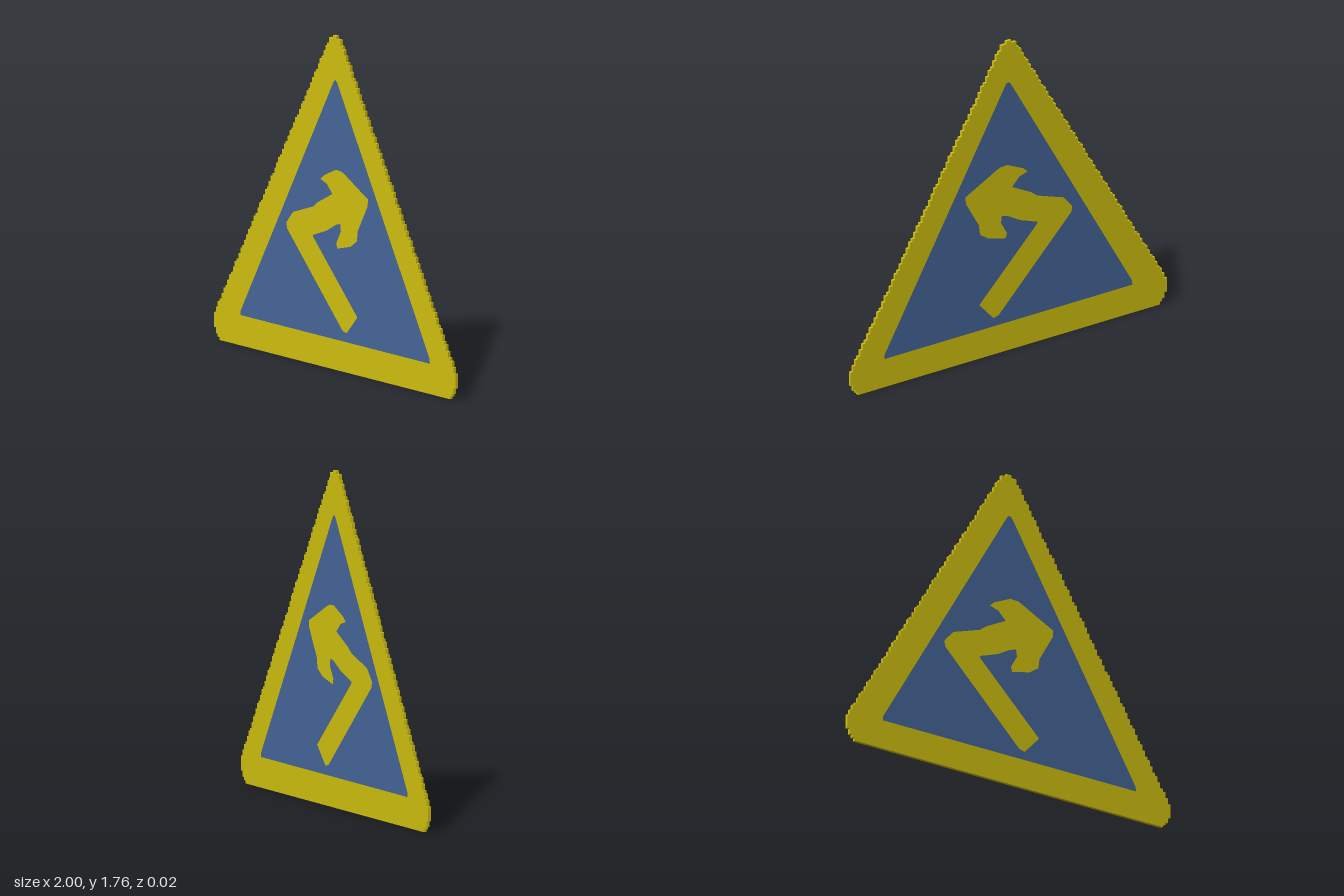
import * as THREE from 'three';

const CELL = 1 / 64;   // step size of the jagged rim
const THICK = 0.0165;
const HEIGHT = 1.76;

// Half width of the rounded triangular plate at a given height
function halfWidth(y) {
  if (y < 0.065) return 0.945 + y * 0.85;
  if (y < 0.13) return 1;
  const w = 1 - (y - 0.13) * 0.595;
  return y > 1.73 ? w - (y - 1.73) * 0.6 : w;
}

// Plate outline climbing in small square steps, mirrored left to right
function steppedOutline() {
  const rows = Math.round(HEIGHT / CELL);
  const step = HEIGHT / rows;
  const right = [];
  for (let i = 0; i < rows; i++) {
    const w = Math.round(halfWidth((i + 0.5) * step) / CELL) * CELL;
    const last = right[right.length - 1];
    if (last && last.x === w) last.y = (i + 1) * step;
    else right.push(new THREE.Vector2(w, i * step), new THREE.Vector2(w, (i + 1) * step));
  }
  const left = right.map(p => new THREE.Vector2(-p.x, p.y)).reverse();
  return [...right, ...left];
}

const toPoints = list => list.map(([x, y]) => new THREE.Vector2(x, y));

// Inner field triangle
const FIELD = toPoints([
  [-0.78, 0.16], [0.787, 0.16], [0.785, 0.185], [0.02, 1.515], [0.005, 1.527], [-0.01, 1.515], [-0.778, 0.185],
]);

// Bent arrow
const ARROW = toPoints([
  [0.01, 1.055], [0.055, 1.053], [0.085, 1.04], [0.2, 0.98], [0.275, 0.942], [0.272, 0.905],
  [0.23, 0.83], [0.19, 0.76], [0.183, 0.705], [0.13, 0.668], [0.02, 0.641], [0.013, 0.67],
  [0.05, 0.735], [0.045, 0.775], [0.01, 0.765], [-0.07, 0.72], [-0.182, 0.68], [-0.175, 0.667],
  [0.187, 0.305], [0.098, 0.207], [0.065, 0.215], [-0.395, 0.68], [-0.4, 0.712],
  [-0.345, 0.775], [-0.18, 0.83], [-0.14, 0.86], [-0.02, 0.922], [-0.065, 0.968],
  [-0.118, 0.985], [-0.09, 1.01],
]);

export function createModel() {
  const group = new THREE.Group();
  group.name = 'warningSign';
  const yellow = new THREE.MeshStandardMaterial({ color: 0xd0c00e });
  yellow.name = 'yellow';
  const blue = new THREE.MeshStandardMaterial({ color: 0x456699 });
  blue.name = 'blue';

  // Flush slab, optionally pierced by the next part inward
  function slab(name, outline, hole, material) {
    const shape = new THREE.Shape(outline);
    if (hole) shape.holes.push(new THREE.Path(hole));
    const geometry = new THREE.ExtrudeGeometry(shape, { depth: THICK, bevelEnabled: false });
    geometry.translate(0, 0, -THICK / 2);
    const mesh = new THREE.Mesh(geometry, material);
    mesh.name = name;
    group.add(mesh);
  }

  slab('border', steppedOutline(), FIELD, yellow);
  slab('field', FIELD, ARROW, blue);
  slab('arrow', ARROW, null, yellow);
  return group;
}
